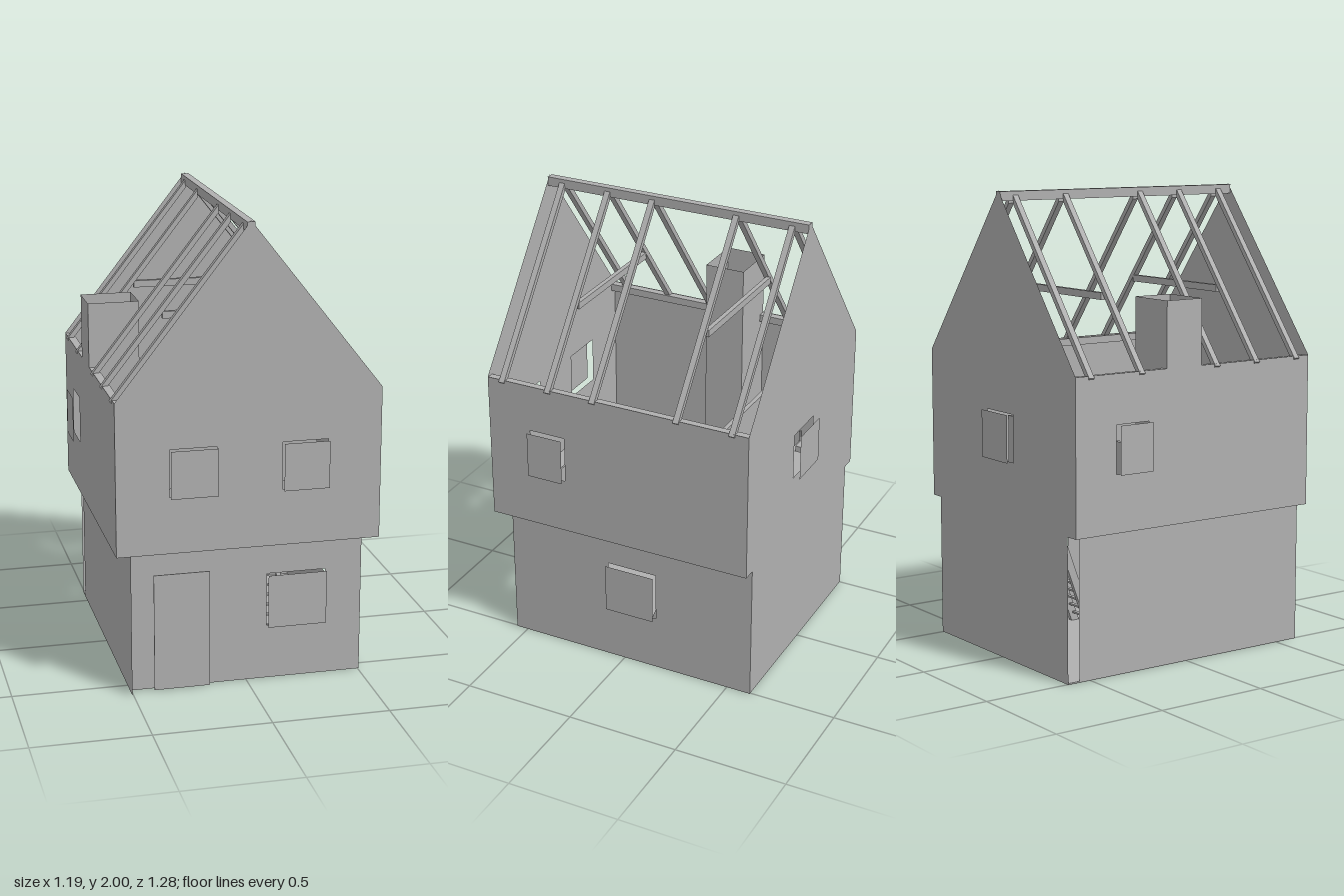
import * as THREE from 'three';

export function createModel() {
  const house = new THREE.Group();
  house.name = 'house';
  const grey = new THREE.MeshStandardMaterial({ color: 0xb0b0b0, side: THREE.DoubleSide });
  grey.name = 'plain grey';

  const add = (name, geo, x = 0, y = 0, z = 0, ry = 0, parent = house) => {
    const m = new THREE.Mesh(geo, grey);
    m.name = name;
    m.position.set(x, y, z);
    m.rotation.y = ry;
    parent.add(m);
    return m;
  };
  // Box given by its lower and upper limits
  const box = (name, x0, x1, y0, y1, z0, z1, parent = house) =>
    add(name, new THREE.BoxGeometry(x1 - x0, y1 - y0, z1 - z0),
      (x0 + x1) / 2, (y0 + y1) / 2, (z0 + z1) / 2, 0, parent);
  // Thin wall from an outline with rectangular openings [u0, u1, v0, v1]
  const wall = (name, outline, openings, x, z, ry) => {
    const s = new THREE.Shape(outline.map(p => new THREE.Vector2(...p)));
    for (const [a, b, c, d] of openings) {
      s.holes.push(new THREE.Path([[a, c], [a, d], [b, d], [b, c]].map(p => new THREE.Vector2(...p))));
    }
    add(name, new THREE.ShapeGeometry(s), x, 0, z, ry);
    // Shutter panels stand just outside the openings
    const out = new THREE.Vector3(Math.sin(ry), 0, Math.cos(ry)).multiplyScalar(0.03);
    for (const [a, b, c, d] of openings) {
      const g = new THREE.PlaneGeometry(b - a, d - c).translate((a + b) / 2, (c + d) / 2, 0);
      add(name + 'Panel', g, x + out.x, 0, z + out.z, ry);
    }
  };
  const rect = (u0, u1, v0, v1) => [[u0, v0], [u1, v0], [u1, v1], [u0, v1]];

  const W = 0.565, L = 0.505, D = 0.61, F = 0.555, MID = 0.62, EAVE = 1.28, Q = Math.PI / 2;
  const gable = [[W, MID], [W, EAVE], [0, 2], [-W, EAVE], [-W, MID]];

  // Outer walls
  wall('frontGable', gable, [[-0.34, -0.14, 0.865, 1.07], [0.14, 0.335, 0.865, 1.07]], 0, D, 0);
  wall('backGable', [[-L, 0], [L, 0], [L, MID], ...gable, [-L, MID]],
    [[-0.1, 0.1, 0.865, 1.07]], 0, -D, Math.PI);
  wall('rightUpperWall', rect(-D, D, MID, EAVE), [[-0.41, -0.245, 0.865, 1.07]], W, 0, Q);
  wall('leftUpperWall', rect(-D, D, MID, EAVE), [[-0.41, -0.245, 0.865, 1.07]], -W, 0, -Q);
  wall('frontLowerWall', rect(-L, L, 0, MID), [[0.09, 0.345, 0.24, 0.475]], 0, F, 0);
  wall('rightLowerWall', rect(-F, D, 0, MID), [[-0.075, 0.155, 0.25, 0.47]], L, 0, Q);
  wall('leftLowerWall', rect(-F, D, 0, MID), [], -L, 0, -Q);
  box('door', -0.405, -0.165, 0.005, 0.52, 0.583, 0.587);

  // Floors and overhang
  box('groundFloor', -L, L, 0, 0.006, -D, F);
  box('loftFloor', -W, W, MID, MID + 0.01, -D, -0.215);
  box('frontOverhang', -W, W, MID, MID + 0.01, 0.535, D);
  for (const s of [-1, 1]) {
    box('sideOverhang', Math.min(s * 0.485, s * W), Math.max(s * 0.485, s * W), MID, MID + 0.01, -0.215, 0.535);
  }

  // Roof timbers
  box('ridgeBeam', -0.017, 0.017, 1.955, 1.995, -D, D);
  box('rightWallPlate', 0.53, W, 1.245, EAVE - 0.002, -D, D);
  box('leftWallPlateBack', -W, -0.53, 1.245, EAVE - 0.002, -D, -0.155);
  box('leftWallPlateFront', -W, -0.53, 1.245, EAVE - 0.002, 0.025, D);
  const rafterShape = new THREE.Shape([[0.017, 1.978], [0.572, 1.271], [0.555, 1.258], [0.017, 1.943]]
    .map(p => new THREE.Vector2(...p)));
  for (const z of [0.54, 0.32, 0.107, -0.283, -0.535]) {
    for (const ry of [0, Math.PI]) {
      const g = new THREE.ExtrudeGeometry(rafterShape, { depth: 0.026, bevelEnabled: false });
      g.translate(0, 0, -0.013);
      add('rafter', g, 0, 0, z, ry);
    }
  }
  for (const z of [-0.293, 0.315]) box('collarBeam', -0.305, 0.305, 1.55, 1.58, z - 0.01, z + 0.01);

  // Open chimney and fireplace
  const flue = [[-0.345, -0.155], [-0.345, 0.025], [-W, 0.025], [-W, -0.155]];
  flue.forEach(([x, z], i) => {
    const [x2, z2] = flue[(i + 1) % 4];
    const len = Math.hypot(x2 - x, z2 - z);
    add('chimneySide', new THREE.PlaneGeometry(len, 1.56 - MID),
      (x + x2) / 2, (1.56 + MID) / 2, (z + z2) / 2, x === x2 ? Q : 0);
  });
  box('hearth', -L, -0.26, 0, 0.03, -0.21, 0.09);
  for (const z of [-0.2, 0.05]) box('fireplaceSide', -L, -0.315, 0.03, 0.3, z, z + 0.04);
  box('mantel', -L, -0.315, 0.3, MID, -0.21, 0.09);

  // Loft partition and stairs
  box('partitionLeft', -0.53, 0.165, MID, 0.95, -0.235, -0.215);
  box('partitionRight', 0.345, 0.53, MID, 0.95, -0.235, -0.215);
  const steps = 14;
  for (let i = 0; i < steps; i++) {
    const z = -0.02 - i * 0.25 / steps, y = (i + 1) * MID / (steps + 1);
    box('stairTread', 0.2, 0.31, y, y + 0.008, z - 0.018, z);
  }
  const stringer = new THREE.Shape([[0, 0], [0.04, 0], [0.27, MID], [0.23, MID]]
    .map(p => new THREE.Vector2(...p)));
  for (const x of [0.182, 0.305]) {
    add('stairSide', new THREE.ExtrudeGeometry(stringer, { depth: 0.02, bevelEnabled: false }), x + 0.02, 0, 0, Q)
      .position.x = x;
  }

  // Beds in the loft
  for (const s of [-1, 1]) {
    const bed = new THREE.Group();
    bed.name = 'bed';
    bed.position.x = s * 0.292;
    bed.rotation.y = s < 0 ? Math.PI : 0;
    bed.position.z = -0.478;
    house.add(bed);
    box('bedFrame', -0.235, 0.235, 0.66, 0.69, -0.105, 0.105, bed);
    box('blanket', -0.235, 0.085, 0.69, 0.715, -0.108, 0.108, bed);
    box('pillow', 0.12, 0.22, 0.69, 0.72, -0.078, 0.078, bed);
    for (const x of [-0.235, 0.225]) for (const z of [-0.107, 0.097]) {
      box('bedPost', x, x + 0.01, 0.63, 0.74, z, z + 0.01, bed);
    }
  }

  // Ground-floor table and benches, each a slab on four legs
  const slab = (name, x0, x1, z0, z1, h) => {
    box(name + 'Top', x0, x1, h - 0.015, h, z0, z1);
    for (const x of [x0 + 0.01, x1 - 0.02]) for (const z of [z0 + 0.01, z1 - 0.02]) {
      box(name + 'Leg', x, x + 0.01, 0, h - 0.015, z, z + 0.01);
    }
  };
  slab('table', 0.32, 0.485, 0.19, 0.465, 0.2);
  slab('bench', 0.205, 0.28, 0.2, 0.385, 0.12);
  slab('settle', 0.06, 0.305, 0.405, 0.525, 0.12);
  box('settleBack', 0.06, 0.305, 0.12, 0.23, 0.512, 0.525);
  for (const [x, z] of [[-0.18, -0.17], [0.4, 0.11]]) {
    add('stoolSeat', new THREE.CylinderGeometry(0.043, 0.043, 0.012, 7), x, 0.12, z);
    for (let i = 0; i < 3; i++) {
      const a = i * Math.PI * 2 / 3;
      add('stoolLeg', new THREE.CylinderGeometry(0.005, 0.005, 0.12, 6),
        x + 0.035 * Math.sin(a), 0.06, z + 0.035 * Math.cos(a));
    }
  }

  // Barrels, shelf and crockery
  const pot = (name, x, y, z, r, h) => add(name, new THREE.LatheGeometry(
    [[0, 0], [r * 0.75, 0], [r, h * 0.5], [r * 0.65, h], [r * 0.5, h], [r * 0.5, h * 0.2], [0, h * 0.2]]
      .map(p => new THREE.Vector2(...p)), 9), x, y, z);
  pot('barrel', -0.447, 0.006, 0.49, 0.04, 0.12);
  pot('smallBarrel', -0.46, 0.006, 0.395, 0.028, 0.08);
  box('shelf', -L, -0.475, 0.35, 0.36, 0.11, 0.345);
  for (const z of [0.15, 0.21, 0.3]) pot('jar', -0.48, 0.36, z, 0.018, 0.05);
  pot('tableBowl', 0.447, 0.2, 0.435, 0.02, 0.03);
  pot('tableCup', 0.355, 0.2, 0.437, 0.012, 0.03);
  return house;
}
